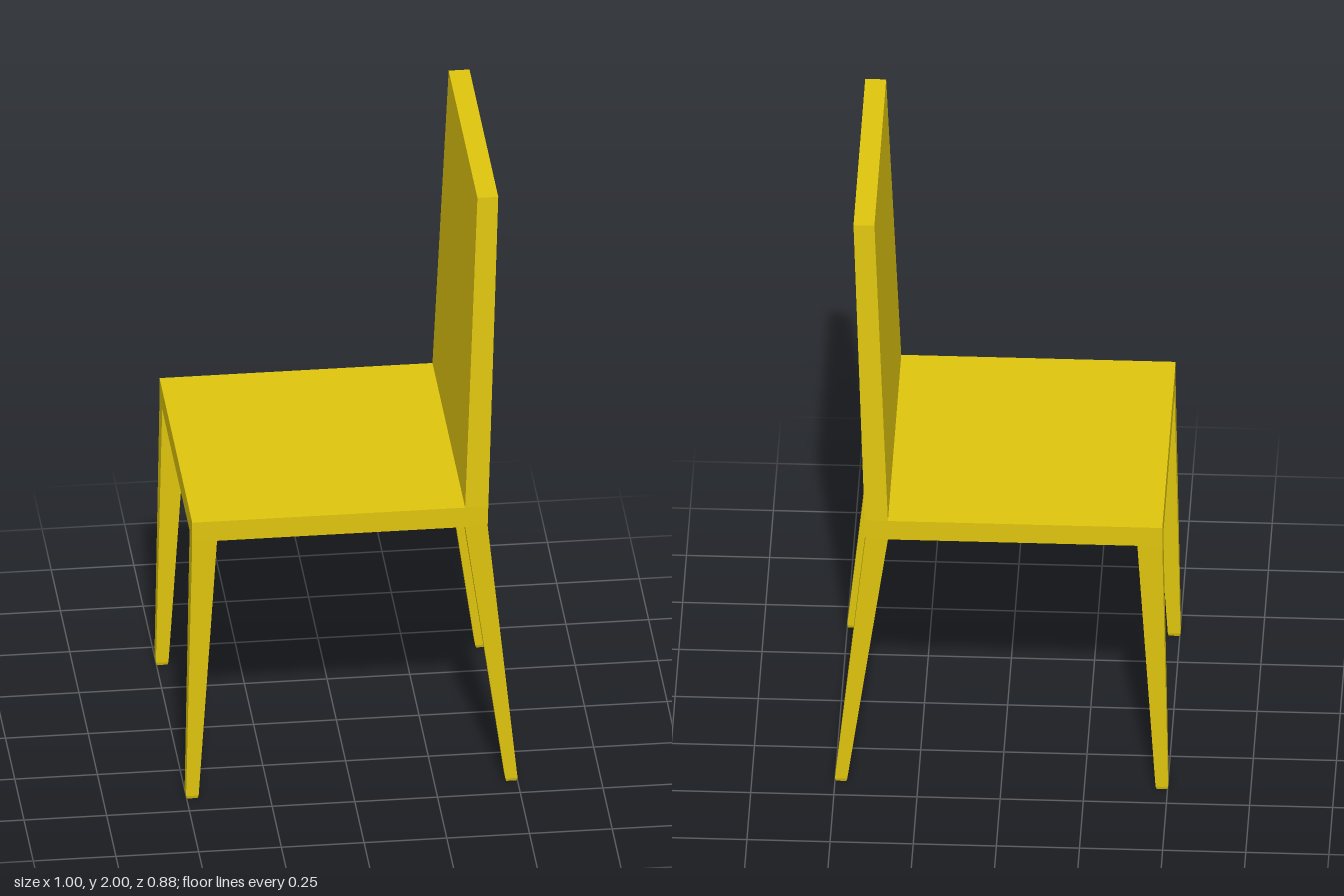
import * as THREE from 'three';

const yellow = new THREE.MeshStandardMaterial({ color: 0xdec40e, flatShading: true });

// Box whose bottom and top rectangles differ: each is [y, x0, x1, z0, z1]
function taperedBox(name, bottom, top) {
  const geometry = new THREE.BoxGeometry(1, 1, 1);
  const p = geometry.attributes.position;
  for (let i = 0; i < p.count; i++) {
    const [y, x0, x1, z0, z1] = p.getY(i) < 0 ? bottom : top;
    p.setXYZ(i, p.getX(i) < 0 ? x0 : x1, y, p.getZ(i) < 0 ? z0 : z1);
  }
  geometry.computeVertexNormals();
  const mesh = new THREE.Mesh(geometry, yellow);
  mesh.name = name;
  return mesh;
}

// Tapered leg with a small chamfered foot; side is +1 or -1 along z
function leg(name, side, footX, topX) {
  const zs = (a, b) => (side > 0 ? [a, b] : [-b, -a]);
  const group = new THREE.Group();
  group.name = name;
  const ankle = [0.01, ...footX, ...zs(0.387, 0.428)];
  const sole = [0, footX[0] + 0.003, footX[1] - 0.003, ...zs(0.39, 0.425)];
  group.add(
    taperedBox(name + 'Post', ankle, [0.895, ...topX, ...zs(0.37, 0.442)]),
    taperedBox(name + 'Foot', sole, ankle)
  );
  return group;
}

export function createModel() {
  const chair = new THREE.Group();
  chair.name = 'chair';

  // Seat slab
  chair.add(taperedBox('seat',
    [0.895, -0.485, 0.408, -0.442, 0.442],
    [0.962, -0.485, 0.410, -0.442, 0.442]));

  // Reclined backrest, narrowing towards the top
  chair.add(taperedBox('backrest',
    [0.962, 0.34, 0.41, -0.442, 0.442],
    [2, 0.383, 0.446, -0.389, 0.389]));

  // Near-upright legs under the seat edge, splayed legs under the backrest
  for (const side of [-1, 1]) {
    chair.add(leg('frontLeg', side, [-0.502, -0.464], [-0.485, -0.41]));
    chair.add(leg('backLeg', side, [0.463, 0.5], [0.34, 0.408]));
  }
  return chair;
}
